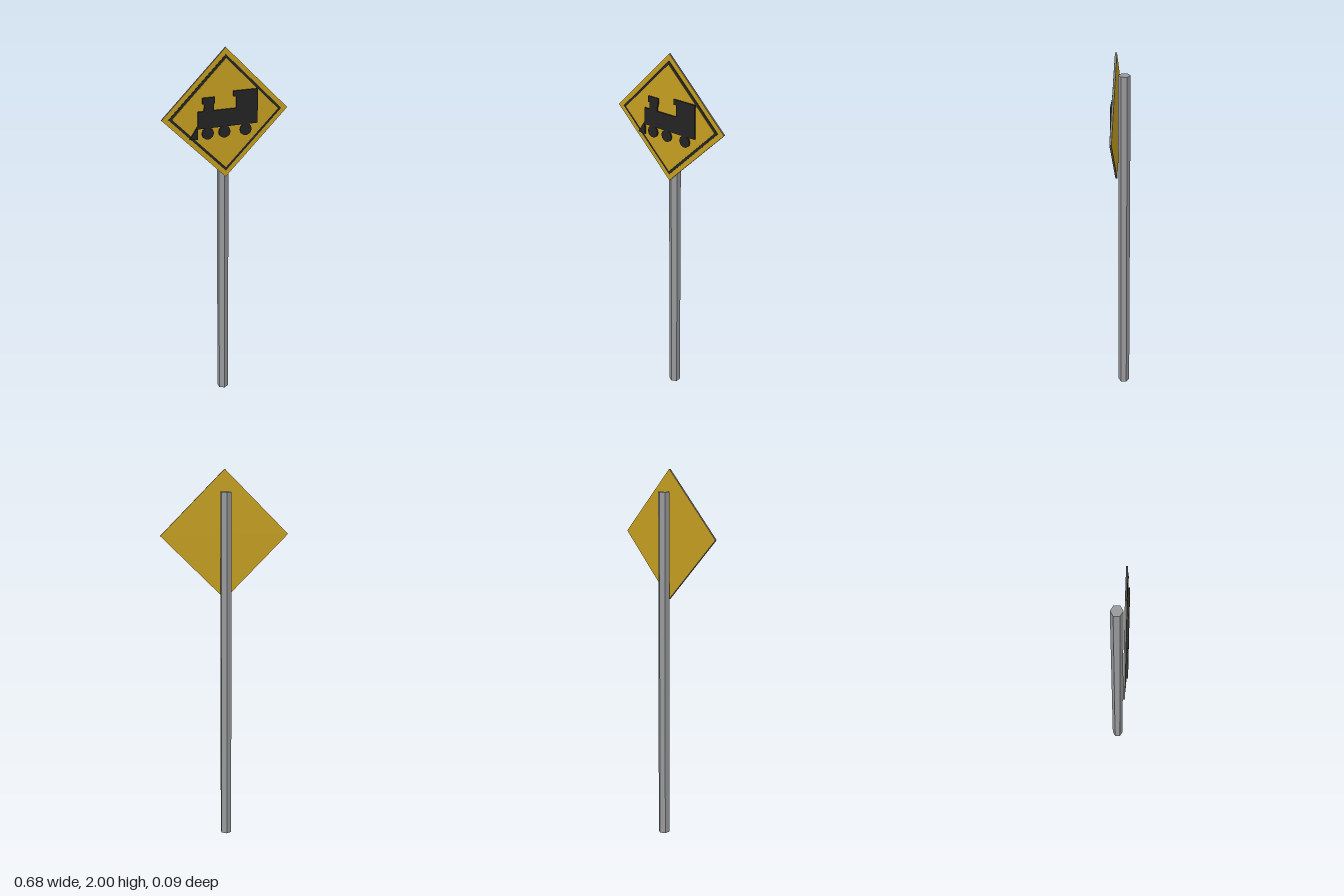
import * as THREE from 'three';

const SIGN_Y = 1.66;

const mat = (name, color) => {
  const m = new THREE.MeshStandardMaterial({ color });
  m.name = name;
  return m;
};

// Flat plate cut from an outline, spanning z0 to z1
function plate(name, points, z0, z1, material) {
  const shape = new THREE.Shape(points.map(([x, y]) => new THREE.Vector2(x, y)));
  const geo = new THREE.ExtrudeGeometry(shape, { depth: z1 - z0, bevelEnabled: false });
  geo.translate(0, 0, z0);
  const mesh = new THREE.Mesh(geo, material);
  mesh.name = name;
  return mesh;
}

// Regular polygon outline with a corner pointing along +x
const polygon = (cx, cy, r, sides) => Array.from({ length: sides }, (_, i) => {
  const a = (i / sides) * Math.PI * 2;
  return [cx + r * Math.cos(a), cy + r * Math.sin(a)];
});

export function createModel() {
  const yellow = mat('sign yellow', 0xc59f20);
  const black = mat('symbol black', 0x242424);
  const steel = mat('post steel', 0x98999b);
  const edge = mat('plate edge grey', 0x606060);

  const model = new THREE.Group();
  model.name = 'railwayCrossingSign';

  // Hexagonal post
  const postGeo = new THREE.CylinderGeometry(0.031, 0.031, 1.885, 6).toNonIndexed();
  postGeo.computeVertexNormals();
  const post = new THREE.Mesh(postGeo, steel);
  post.name = 'post';
  post.position.set(0, 1.885 / 2, -0.014);
  model.add(post);

  // Diamond sign: yellow plate with bare edges, black border line, yellow field
  const diamond = (r) => polygon(0, SIGN_Y, r, 4);
  model.add(plate('signPlate', diamond(0.34), 0.022, 0.032, [yellow, edge]));
  model.add(plate('borderLine', diamond(0.305), 0.032, 0.034, black));
  model.add(plate('innerField', diamond(0.286), 0.034, 0.036, yellow));

  // Locomotive silhouette
  const loco = new THREE.Group();
  loco.name = 'locomotive';
  const part = (name, points) => loco.add(plate(name, points, 0.036, 0.044, black));
  part('engineBody', [
    [-0.197, 1.548], [-0.153, 1.543], [-0.153, 1.598], [0.17, 1.598],
    [0.17, 1.778], [0.037, 1.778], [0.037, 1.75], [0.053, 1.75], [0.053, 1.688],
    [-0.069, 1.688], [-0.067, 1.725], [-0.063, 1.725], [-0.063, 1.757],
    [-0.127, 1.757], [-0.127, 1.725], [-0.118, 1.725], [-0.12, 1.688],
    [-0.153, 1.688], [-0.153, 1.615],
  ]);
  [-0.1, -0.01, 0.106].forEach((x, i) => part(`wheel${i + 1}`, polygon(x, 1.57, 0.032, 10)));
  model.add(loco);

  return model;
}
